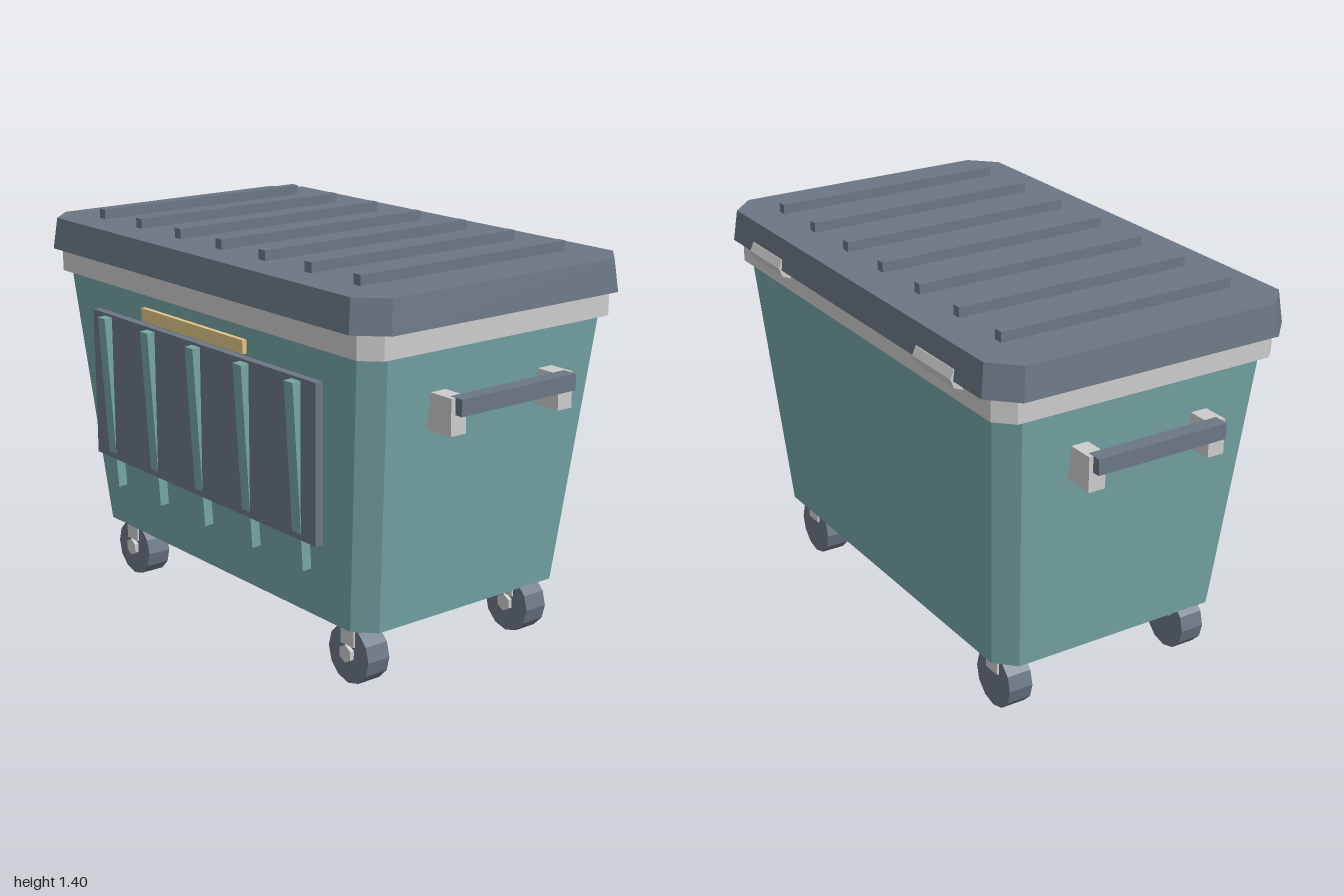
import * as THREE from 'three';

const mat = (color) => new THREE.MeshStandardMaterial({ color, flatShading: true });

// Solid between two chamfered rectangles: [halfX, halfZ, chamfer, y] for bottom and top
function chamferedPrism(bottom, top) {
  const ring = ([w, d, c, y]) => [
    [w, d - c], [w, c - d], [w - c, -d], [c - w, -d],
    [-w, c - d], [-w, d - c], [c - w, d], [w - c, d],
  ].map(([x, z]) => [x, y, z]);
  const a = ring(bottom), b = ring(top), pos = [];
  const tri = (...pts) => pts.forEach((p) => pos.push(...p));
  for (let i = 0; i < 8; i++) {
    const j = (i + 1) % 8;
    tri(a[i], a[j], b[j]);
    tri(a[i], b[j], b[i]);
    if (i > 0 && i < 7) {
      tri(b[0], b[i], b[i + 1]);
      tri(a[0], a[i + 1], a[i]);
    }
  }
  const geo = new THREE.BufferGeometry();
  geo.setAttribute('position', new THREE.Float32BufferAttribute(pos, 3));
  geo.computeVertexNormals();
  return geo;
}

export function createModel() {
  const model = new THREE.Group();
  model.name = 'wheeledContainer';
  const teal = mat(0x76a5a5), slate = mat(0x6b7784), grey = mat(0xcccccc), yellow = mat(0xe3c588);

  const add = (name, geo, material, x, y, z, parent = model) => {
    const mesh = new THREE.Mesh(geo, material);
    mesh.name = name;
    mesh.position.set(x, y, z);
    parent.add(mesh);
    return mesh;
  };
  const box = (name, material, w, h, d, x, y, z, parent) =>
    add(name, new THREE.BoxGeometry(w, h, d), material, x, y, z, parent);

  // Tapered body, rim and lid
  add('body', chamferedPrism([0.78, 0.455, 0.067, 0.217], [0.89, 0.525, 0.067, 1.167]), teal, 0, 0, 0.007);
  add('rim', chamferedPrism([0.91, 0.547, 0.06, 1.167], [0.91, 0.547, 0.06, 1.252]), grey, 0, 0, 0.008);
  add('lid', chamferedPrism([0.947, 0.582, 0.092, 1.252], [0.935, 0.568, 0.09, 1.365]), slate, 0, 0, 0.008);

  // Raised ribs on the lid
  for (let i = -3; i <= 3; i++) {
    box('lidRib', slate, 0.034, 0.05, 0.888, i * 0.243, 1.375, 0.01);
  }

  // Front panel, sloped ribs and grip
  box('frontPanel', slate, 1.3, 0.542, 0.03, 0, 0.784, 0.539);
  for (let i = -2; i <= 2; i++) {
    const rib = box('frontRib', teal, 0.046, 0.64, 0.035, i * 0.275, 0.725, 0.548);
    rib.rotation.x = 0.06;
  }
  box('frontGrip', yellow, 0.594, 0.047, 0.017, 0, 1.103, 0.568);

  // Side handles and rear hinges, mirrored
  for (const s of [-1, 1]) {
    const handle = new THREE.Group();
    handle.name = s > 0 ? 'leftHandle' : 'rightHandle';
    model.add(handle);
    for (const z of [0.243, -0.225]) {
      box('handleBracket', grey, 0.12, 0.123, 0.063, s * 0.91, 0.964, z, handle);
    }
    box('handleBar', slate, 0.055, 0.056, 0.498, s * 0.9725, 0.998, 0.008, handle);

    const hinge = add('hinge', new THREE.CylinderGeometry(0.043, 0.043, 0.23, 8), grey, s * 0.58, 1.259, -0.541);
    hinge.rotation.z = Math.PI / 2;
  }

  // Four casters: wheel, fork block and hub cap
  for (const x of [-0.645, 0.645]) {
    for (const z of [0.368, -0.352]) {
      const caster = new THREE.Group();
      caster.name = 'caster';
      caster.position.set(x, 0, z);
      model.add(caster);
      add('wheel', new THREE.CylinderGeometry(0.103, 0.103, 0.09, 12).rotateX(Math.PI / 2), slate, 0, 0.103, 0, caster);
      box('fork', grey, 0.068, 0.085, 0.104, 0, 0.1795, 0, caster);
      add('hub', new THREE.CylinderGeometry(0.032, 0.032, 0.05, 6).rotateX(Math.PI / 2), grey, 0, 0.108, 0.035, caster);
    }
  }
  return model;
}
